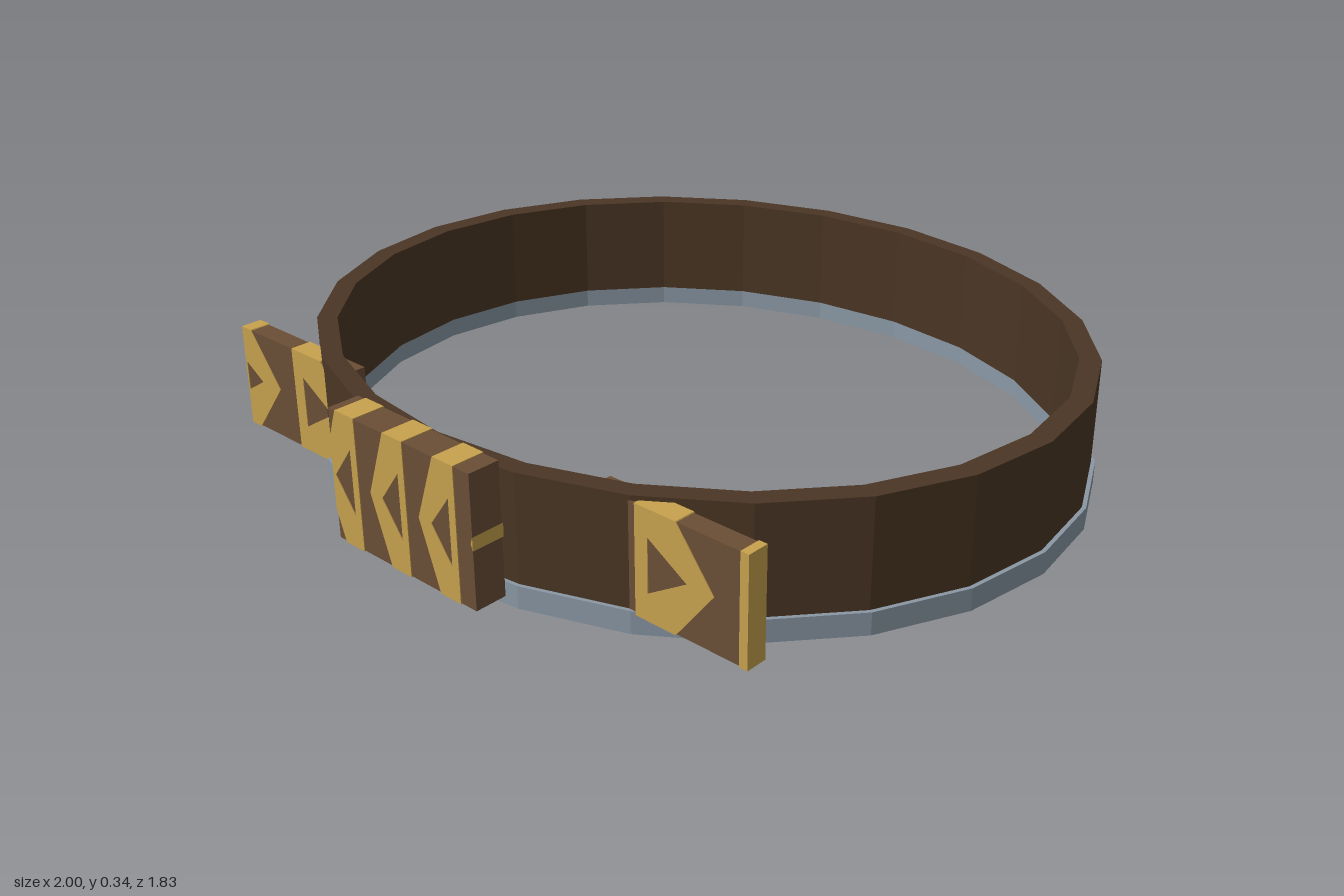
import * as THREE from 'three';

const material = (name, color) => {
  const m = new THREE.MeshStandardMaterial({ color });
  m.name = name;
  return m;
};

export function createModel() {
  const darkBrown = material('dark brown', 0x4a3624);
  const brown = material('brown', 0x6b4f36);
  const gold = material('gold', 0xc8a24e);
  const steel = material('steel grey', 0x8a98a5);
  const model = new THREE.Group();
  model.name = 'ornamentedBand';

  const add = (parent, name, geometry, mat) => {
    const mesh = new THREE.Mesh(geometry, mat);
    mesh.name = name;
    parent.add(mesh);
    return mesh;
  };

  // Faceted oval hoop with a rectangular section
  const hoop = (name, inner, outer, y0, y1, mat) => {
    const profile = [[inner, y0], [outer, y0], [outer, y1], [inner, y1], [inner, y0]]
      .map(([x, y]) => new THREE.Vector2(x, y));
    const geometry = new THREE.LatheGeometry(profile, 24);
    geometry.scale(1, 1, 0.885);
    geometry.translate(0, 0, -0.03);
    const flat = geometry.toNonIndexed();
    flat.computeVertexNormals();
    add(model, name, flat, mat);
  };
  hoop('band', 0.937, 0.99, 0.05, 0.317, darkBrown);
  hoop('bottomRim', 0.942, 1.0, 0, 0.055, steel);

  // Cut a convex polygon at x = limit, keeping the side given by sign
  const clip = (points, limit, sign) => {
    const out = [];
    points.forEach((a, i) => {
      const b = points[(i + 1) % points.length];
      const da = (a[0] - limit) * sign, db = (b[0] - limit) * sign;
      if (da >= 0) out.push(a);
      if (da * db < 0) {
        const t = da / (da - db);
        out.push([limit, a[1] + (b[1] - a[1]) * t]);
      }
    });
    return out;
  };

  // One motif is a bar with two arms meeting in a point; y runs from -1 to 1
  const bar = [[0, -1], [0.035, -1], [0.035, 1], [0, 1]];
  const upperArm = [[0.035, 0.5], [0.14, 0], [0.21, 0], [0.11, 1], [0.035, 1]];
  const lowerArm = upperArm.map(([x, y]) => [x, -y]).reverse();

  // Plaque with gold inlay running through its thickness
  const plaque = (name, x0, x1, y0, y1, z0, z1, starts, scale) => {
    const group = new THREE.Group();
    group.name = name;
    model.add(group);
    const body = new THREE.BoxGeometry(x1 - x0, y1 - y0, z1 - z0);
    body.translate((x0 + x1) / 2, (y0 + y1) / 2, (z0 + z1) / 2);
    add(group, 'plaqueBody', body, brown);
    const e = 0.002, half = (y1 - y0) / 2 + e, mid = (y0 + y1) / 2;
    for (const start of starts) {
      for (const piece of [bar, upperArm, lowerArm]) {
        let points = piece.map(([x, y]) => [start + x * scale, mid + y * half]);
        points = clip(clip(points, x0 - e, 1), x1 + e, -1);
        if (points.length < 3) continue;
        const shape = new THREE.Shape(points.map(([x, y]) => new THREE.Vector2(x, y)));
        const inlay = new THREE.ExtrudeGeometry(shape, { depth: z1 - z0 + 2 * e, bevelEnabled: false });
        inlay.translate(0, 0, z0 - e);
        add(group, 'goldInlay', inlay, gold);
      }
    }
    return group;
  };

  plaque('centrePlaque', -0.227, 0.227, 0.02, 0.34, 0.83, 0.91, [-0.14, 0.02, 0.18, 0.343], -0.57);
  const sides = [
    plaque('rightPlaque', -0.807, -0.4, 0.05, 0.305, 0.68, 0.73, [-0.885, -0.61], 1),
    plaque('leftPlaque', 0.395, 0.803, 0.05, 0.305, 0.68, 0.73, [0.235, 0.51, 0.785], 1),
  ];

  // Gold plates on the outer ends of the side plaques
  sides.forEach((side, i) => {
    const cap = new THREE.BoxGeometry(0.005, 0.259, 0.054);
    cap.translate(i ? 0.804 : -0.808, 0.1775, 0.705);
    add(side, 'endCap', cap, gold);
  });

  return model;
}
